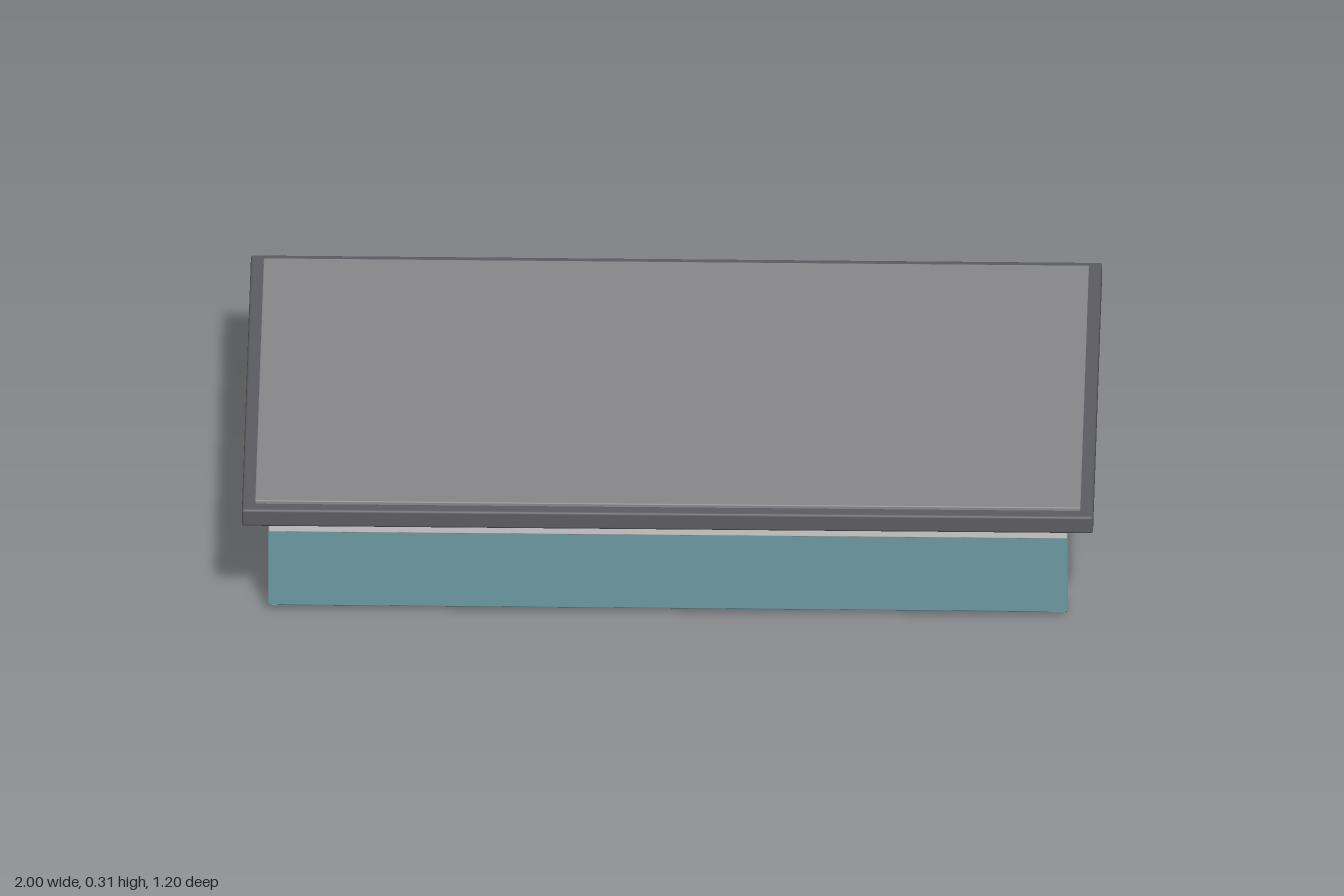
import * as THREE from 'three';
import { RoundedBoxGeometry } from 'three/addons/geometries/RoundedBoxGeometry.js';

const material = (color) => new THREE.MeshStandardMaterial({ color });

export function createModel() {
  const model = new THREE.Group();
  const grey = material(0xcccccc);
  const slab = material(0x5c5c62);
  const surface = material(0x88888c);
  const teal = material(0x6b9ba2);
  const orange = material(0xd0953f);

  // Soft-edged box given by its size and centre
  function box(name, mat, [w, h, d], [x, y, z], radius) {
    const mesh = new THREE.Mesh(new RoundedBoxGeometry(w, h, d, 2, radius), mat);
    mesh.name = name;
    mesh.position.set(x, y, z);
    model.add(mesh);
    return mesh;
  }

  // Round bar between two points
  function bar(name, mat, a, b, radius) {
    const dir = b.clone().sub(a);
    const mesh = new THREE.Mesh(new THREE.CylinderGeometry(radius, radius, dir.length(), 16), mat);
    mesh.name = name;
    mesh.position.copy(a).add(b).multiplyScalar(0.5);
    mesh.quaternion.setFromUnitVectors(new THREE.Vector3(0, 1, 0), dir.normalize());
    model.add(mesh);
  }

  // Table top: thick slab with a thin inset surface
  box('tableSlab', slab, [2, 0.045, 1.2], [0, 0.2765, 0], 0.006);
  box('tableSurface', surface, [1.94, 0.02, 1.14], [0, 0.2975, 0], 0.003);

  // Four legs, each with a brace sloping down and inward
  for (const sx of [-1, 1]) {
    for (const sz of [-1, 1]) {
      const z = sz * 0.511;
      box('leg', grey, [0.047, 0.248, 0.047], [sx * 0.912, 0.124, z], 0.006);
      bar('legBrace', grey,
        new THREE.Vector3(sx * 0.9, 0.19, z),
        new THREE.Vector3(sx * 0.51, 0.046, z), 0.014);
    }
  }

  // Front panel hanging from a rail
  box('frontPanel', teal, [1.88, 0.227, 0.018], [0, 0.1265, 0.542], 0.003);
  box('panelRail', grey, [1.876, 0.03, 0.028], [0, 0.228, 0.54], 0.003);

  // Low bar behind the back legs
  box('backBar', orange, [0.49, 0.026, 0.026], [0, 0.036, -0.558], 0.003);

  return model;
}
